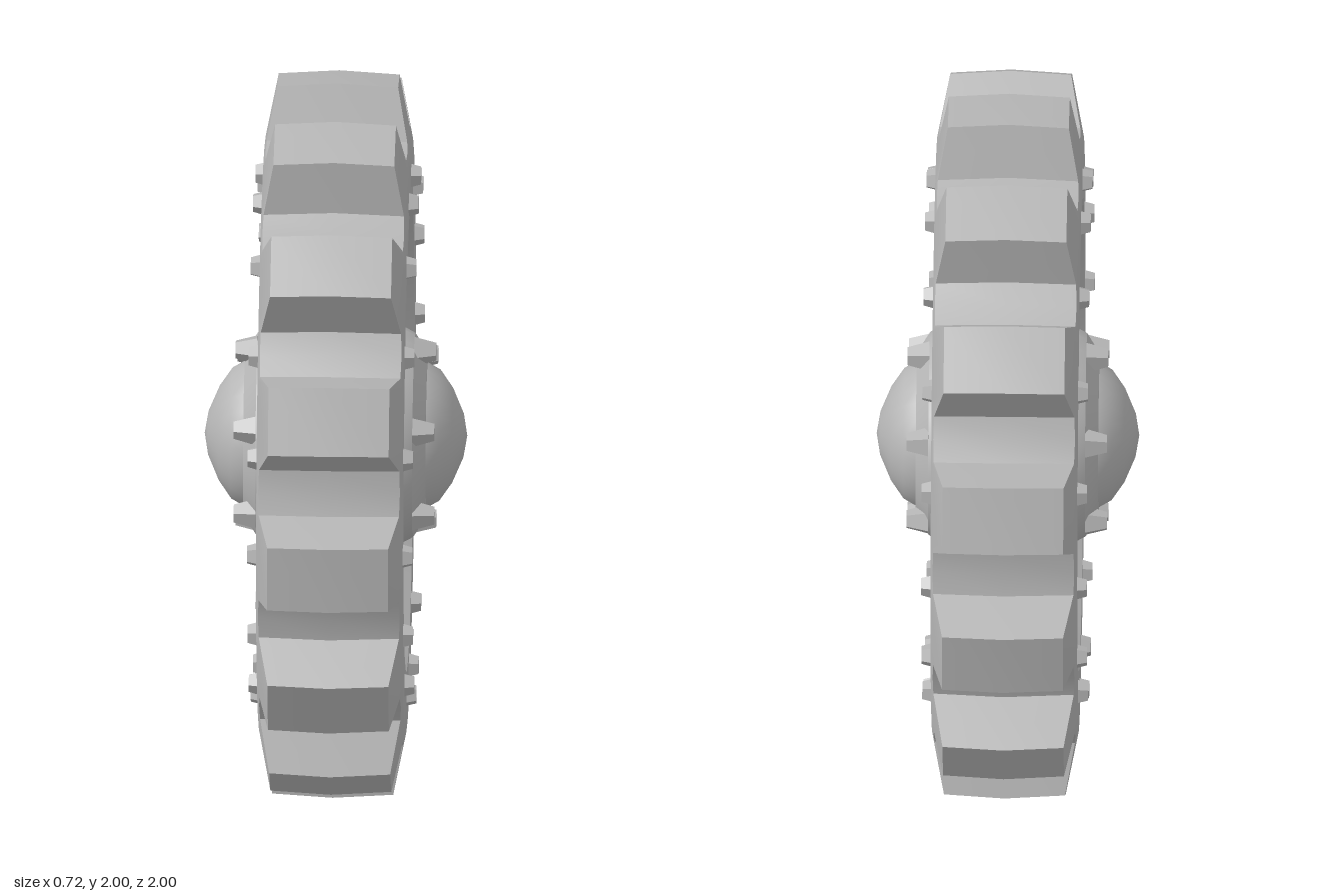
import * as THREE from 'three';
import { toCreasedNormals } from 'three/addons/utils/BufferGeometryUtils.js';

const TEETH = 14, SPOKES = 6, RIM_BOLTS = 16;
const rad = THREE.MathUtils.degToRad;

// Toothed ring: cross-section loops swept round the x axis
function ringGeometry() {
  const pitch = 360 / TEETH;
  const outline = [[-8.6, 0.86], [-5.4, 1], [5.4, 1], [8.6, 0.86], [pitch / 2, 0.85]];
  const pos = [], index = [];
  const n = 10, total = TEETH * outline.length;
  for (let t = 0; t < TEETH; t++) {
    for (const [offset, R] of outline) {
      const a = rad(8.9 + t * pitch + offset);
      const w = 0.2 - (R - 0.82) * 0.19;
      const section = [
        [-0.12, 0.6], [0, 0.595], [0.12, 0.6], [0.2, 0.65], [0.2, 0.82],
        [w, R - 0.008], [0, R + 0.002], [-w, R - 0.008], [-0.2, 0.82], [-0.2, 0.65],
      ];
      for (const [x, r] of section) pos.push(x, r * Math.cos(a), r * Math.sin(a));
    }
  }
  for (let i = 0; i < total; i++) {
    for (let j = 0; j < n; j++) {
      const a = i * n + j, b = i * n + (j + 1) % n;
      const c = ((i + 1) % total) * n + j, d = ((i + 1) % total) * n + (j + 1) % n;
      index.push(a, b, c, b, d, c);
    }
  }
  const g = new THREE.BufferGeometry();
  g.setAttribute('position', new THREE.Float32BufferAttribute(pos, 3));
  g.setIndex(index);
  return toCreasedNormals(g, 0.5);
}

// Spoke along +y, flaring where it meets the ring
function spokeGeometry() {
  const g = new THREE.BoxGeometry(1, 0.41, 1, 1, 5, 1);
  g.translate(0, 0.425, 0);
  const p = g.attributes.position;
  for (let i = 0; i < p.count; i++) {
    const t = (p.getY(i) - 0.22) / 0.41;
    const halfWidth = 0.1 + 0.065 * t * t;
    const halfDepth = 0.15 - 0.03 * t;
    p.setX(i, p.getX(i) * 2 * halfDepth);
    p.setZ(i, p.getZ(i) * 2 * halfWidth);
  }
  return toCreasedNormals(g, 0.5);
}

// Hub and cap turned about the x axis, mirrored to both sides
function hubGeometry() {
  const half = [
    [0, 0.36], [0.06, 0.35], [0.13, 0.32], [0.18, 0.285], [0.2, 0.25],
    [0.225, 0.25], [0.28, 0.215], [0.31, 0.16],
  ];
  const points = [
    ...half.map(([r, x]) => new THREE.Vector2(r, -x)),
    ...half.slice().reverse().map(([r, x]) => new THREE.Vector2(r, x)),
  ];
  const g = new THREE.LatheGeometry(points, 24);
  g.rotateZ(-Math.PI / 2);
  return toCreasedNormals(g, 0.5);
}

export function createModel() {
  const model = new THREE.Group();
  model.name = 'gearWheel';
  const metal = new THREE.MeshStandardMaterial({ color: 0xb6b6b6 });
  metal.name = 'grey metal';

  function add(parent, name, geometry) {
    const mesh = new THREE.Mesh(geometry, metal);
    mesh.name = name;
    parent.add(mesh);
    return mesh;
  }

  const wheel = new THREE.Group();
  wheel.name = 'wheel';
  wheel.position.y = 1;
  model.add(wheel);

  add(wheel, 'toothedRing', ringGeometry());
  add(wheel, 'hub', hubGeometry());

  const spoke = spokeGeometry();
  for (let i = 0; i < SPOKES; i++) {
    add(wheel, 'spoke', spoke).rotation.x = i * Math.PI * 2 / SPOKES;
  }

  // Chunky faceted studs on both sides
  const stud = new THREE.CylinderGeometry(0.026, 0.043, 0.06, 5).toNonIndexed();
  stud.computeVertexNormals();
  function studCircle(name, count, radius, x) {
    for (const side of [-1, 1]) {
      for (let i = 0; i < count; i++) {
        const a = i * Math.PI * 2 / count;
        const mesh = add(wheel, name, stud);
        mesh.position.set(side * x, radius * Math.cos(a), radius * Math.sin(a));
        mesh.rotation.set(a, 0, -side * Math.PI / 2);
      }
    }
  }
  studCircle('rimStud', RIM_BOLTS, 0.715, 0.197);
  studCircle('hubStud', SPOKES, 0.26, 0.245);

  return model;
}
